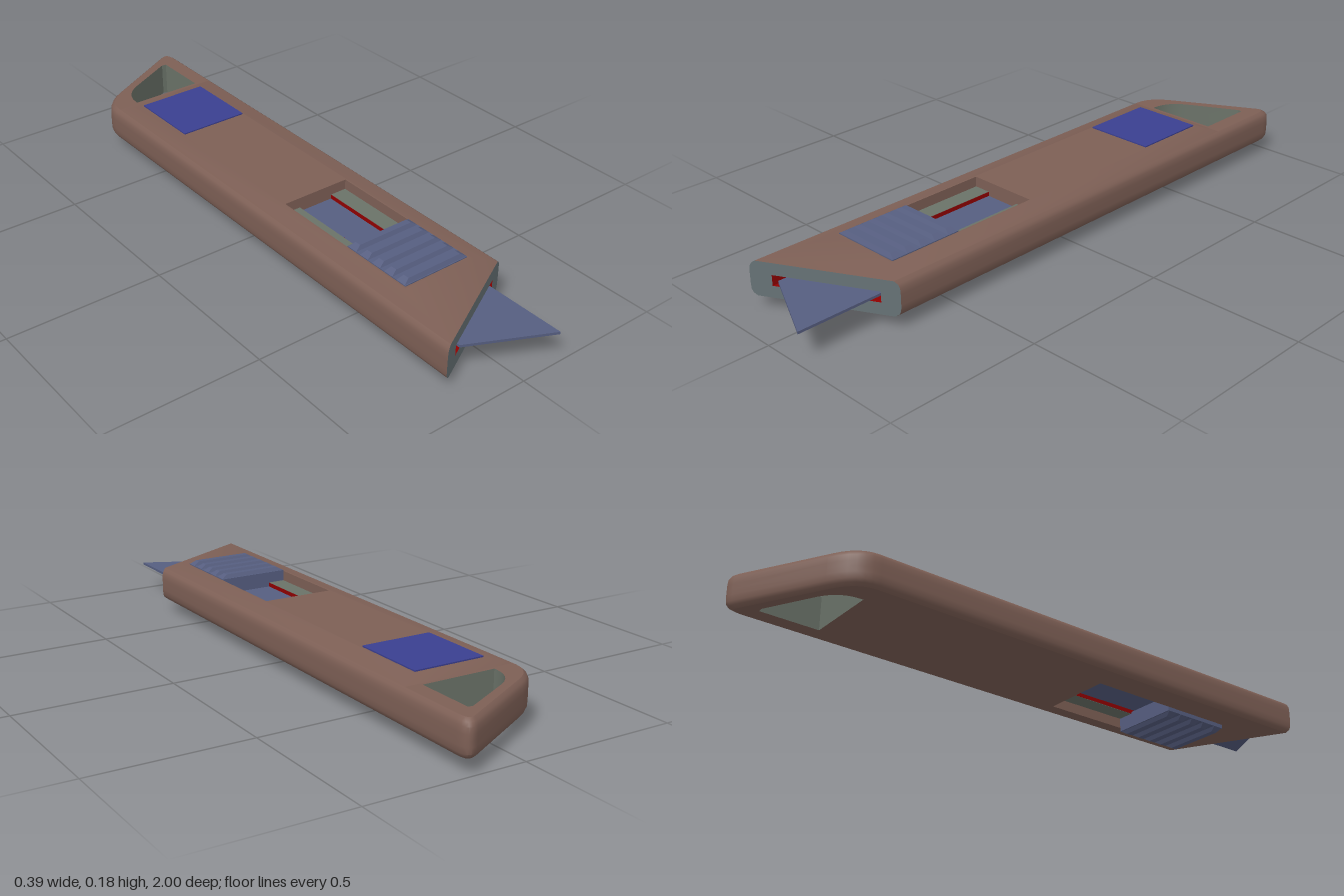
import * as THREE from 'three';
import { toCreasedNormals } from 'three/addons/utils/BufferGeometryUtils.js';

const MID = 0.094; // height of the symmetry plane
const material = (color) => new THREE.MeshStandardMaterial({ color, side: THREE.DoubleSide });
const M = {
  body: material(0x7d5f55), nose: material(0x667275), pad: material(0x3a3f90),
  slate: material(0x565e80), liner: material(0x6a7268), red: material(0x900000),
};

function add(group, name, geometry, mat) {
  const mesh = new THREE.Mesh(geometry, mat);
  mesh.name = name;
  group.add(mesh);
  return mesh;
}

// Box from its limits
function block(group, name, mat, x0, x1, y0, y1, z0, z1) {
  add(group, name, new THREE.BoxGeometry(x1 - x0, y1 - y0, z1 - z0), mat)
    .position.set((x0 + x1) / 2, (y0 + y1) / 2, (z0 + z1) / 2);
}

// Walls between stacked closed rings of [x, z]; keep(row, side) selects faces
function loft(rings, heights, keep = () => true) {
  const p = [];
  for (let r = 0; r < rings.length - 1; r++) {
    const n = rings[r].length;
    for (let i = 0; i < n; i++) {
      if (!keep(r, i)) continue;
      const at = (k, j) => [rings[k][j % n][0], heights[k], rings[k][j % n][1]];
      const a = at(r, i), b = at(r, i + 1), c = at(r + 1, i + 1), d = at(r + 1, i);
      p.push(...a, ...b, ...c, ...a, ...c, ...d);
    }
  }
  const g = new THREE.BufferGeometry();
  g.setAttribute('position', new THREE.Float32BufferAttribute(p, 3));
  return toCreasedNormals(g, 0.6);
}

// Horizontal face with optional holes, facing up
function deck(ring, y, holes = []) {
  const points = (r) => r.map(([x, z]) => new THREE.Vector2(x, -z));
  const s = new THREE.Shape(points(ring));
  s.holes = holes.map((h) => new THREE.Path(points(h)));
  return new THREE.ShapeGeometry(s).rotateX(-Math.PI / 2).translate(0, y, 0);
}

const rect = (x0, x1, z0, z1) => [[x0, z1], [x1, z1], [x1, z0], [x0, z0]];
const noseZ = (x) => 0.91 - (x + 0.2) * 0.53;

function bend(a, c, b, n = 6) {
  return new THREE.QuadraticBezierCurve(new THREE.Vector2(...a), new THREE.Vector2(...c), new THREE.Vector2(...b))
    .getPoints(n).map((v) => [v.x, v.y]);
}

// Plan outline of the handle, inset by d everywhere but the slanted nose
function outline(d) {
  const l = -0.199 + d, r = 0.196 - d;
  const tail = (x) => -0.838 - (x + 0.13) * 0.55 + 1.1 * d;
  return [
    ...[l, -0.14, 0.145, r].map((x) => [x, noseZ(x)]),
    ...bend([r, -0.96 + d], [r, tail(r)], [0.155, tail(0.155)]),
    ...bend([-0.11, tail(-0.11)], [l, tail(l)], [l, -0.73]),
  ];
}

const SLOT = rect(-0.12, 0.112, 0.12, 0.655);
const HANG = [[-0.11, -0.73], [0.13, -0.73], [0.13, -0.92], [0.115, -0.922],
  ...bend([-0.05, -0.835], [-0.108, -0.8], [-0.11, -0.74])];

// Everything above the symmetry plane, shared by both faces
function halfHandle() {
  const g = new THREE.Group();
  const heights = [0, 0.017, 0.036, 0.047, 0.055];
  const rings = [0, 0, 0.001, 0.006, 0.016].map(outline);
  add(g, 'handleSides', loft(rings, heights, (r, i) => i > 2), M.body);
  add(g, 'noseFace', loft(rings, heights, (r, i) => i < 3 && !(r === 0 && i === 1)), M.nose);
  add(g, 'handleDeck', deck(rings[4], 0.055, [HANG, SLOT]), M.body);

  // Raised crown sloping to the edges, nose and tail
  const base = [[-0.183, noseZ(-0.183)], [0.18, noseZ(0.18)], [0.18, -0.72], [-0.183, -0.72]];
  const crown = rect(-0.125, 0.117, -0.675, 0.66);
  add(g, 'crownSlopes', loft([base, crown], [0.055, 0.069]), M.body);
  add(g, 'crownTop', deck(crown, 0.069, [SLOT]), M.body);

  // Hanging hole and slider recess
  const hang = [...HANG].reverse(), slot = [...SLOT].reverse();
  add(g, 'hangingHoleWalls', loft([hang, hang], [0, 0.055]), M.liner);
  add(g, 'recessWalls', loft([slot, slot], [0.018, 0.069]), M.body);
  block(g, 'recessRail', M.liner, -0.12, -0.065, 0.018, 0.036, 0.12, 0.655);
  block(g, 'recessRail', M.liner, 0.057, 0.112, 0.018, 0.036, 0.12, 0.655);
  for (const x of [-0.065, 0.056]) block(g, 'railLining', M.red, x, x + 0.001, 0.018, 0.035, 0.12, 0.655);
  block(g, 'carrierBar', M.slate, -0.064, 0.056, 0.018, 0.022, 0.12, 0.655);

  // Blade channel behind the nose
  const channel = [[-0.14, noseZ(-0.14)], [0.145, noseZ(0.145)], [0.145, 0.2], [-0.14, 0.2]];
  add(g, 'channelWalls', loft([channel, channel], [0, 0.017], (r, i) => i > 0), M.red);
  add(g, 'channelRoof', deck(channel, 0.017), M.red);
  return g;
}

// Thumb slider with cross ridges
function slider() {
  const g = new THREE.Group();
  g.name = 'thumbSlider';
  block(g, 'sliderPlate', M.slate, -0.12, 0.112, 0.02, 0.072, 0.41, 0.655);
  for (let i = 0; i < 5; i++) {
    const z = 0.431 + i * 0.051;
    const low = rect(-0.12, 0.112, z - 0.017, z + 0.017), high = rect(-0.1, 0.092, z - 0.01, z + 0.01);
    add(g, 'sliderRidge', loft([low, high], [0.072, 0.084]), M.slate);
    add(g, 'sliderRidgeTop', deck(high, 0.084), M.slate);
  }
  return g;
}

export function createModel() {
  const model = new THREE.Group();
  model.name = 'utilityKnife';
  const knife = new THREE.Group();
  knife.name = 'knife';
  knife.position.y = MID;
  model.add(knife);

  // Upper and lower halves, mirrored
  for (const side of [1, -1]) {
    const half = halfHandle();
    half.name = side > 0 ? 'upperHandle' : 'lowerHandle';
    const thumb = slider();
    if (side < 0) thumb.position.y = 0.01;
    half.add(thumb);
    half.scale.y = side;
    knife.add(half);
  }

  block(knife, 'gripPad', M.pad, -0.12, 0.112, 0.06, 0.073, -0.67, -0.42);

  // Blade and its carrier
  block(knife, 'bladeCarrier', M.slate, -0.125, 0.122, -0.013, 0.014, 0.21, 0.67);
  const blade = new THREE.Shape([[-0.12, -0.6], [0.133, -0.6], [0.133, -0.995], [-0.12, -0.872]]
    .map(([x, y]) => new THREE.Vector2(x, y)));
  add(knife, 'blade', new THREE.ExtrudeGeometry(blade, { depth: 0.008, bevelEnabled: false })
    .rotateX(-Math.PI / 2).translate(0, -0.004, 0), M.slate);
  return model;
}
